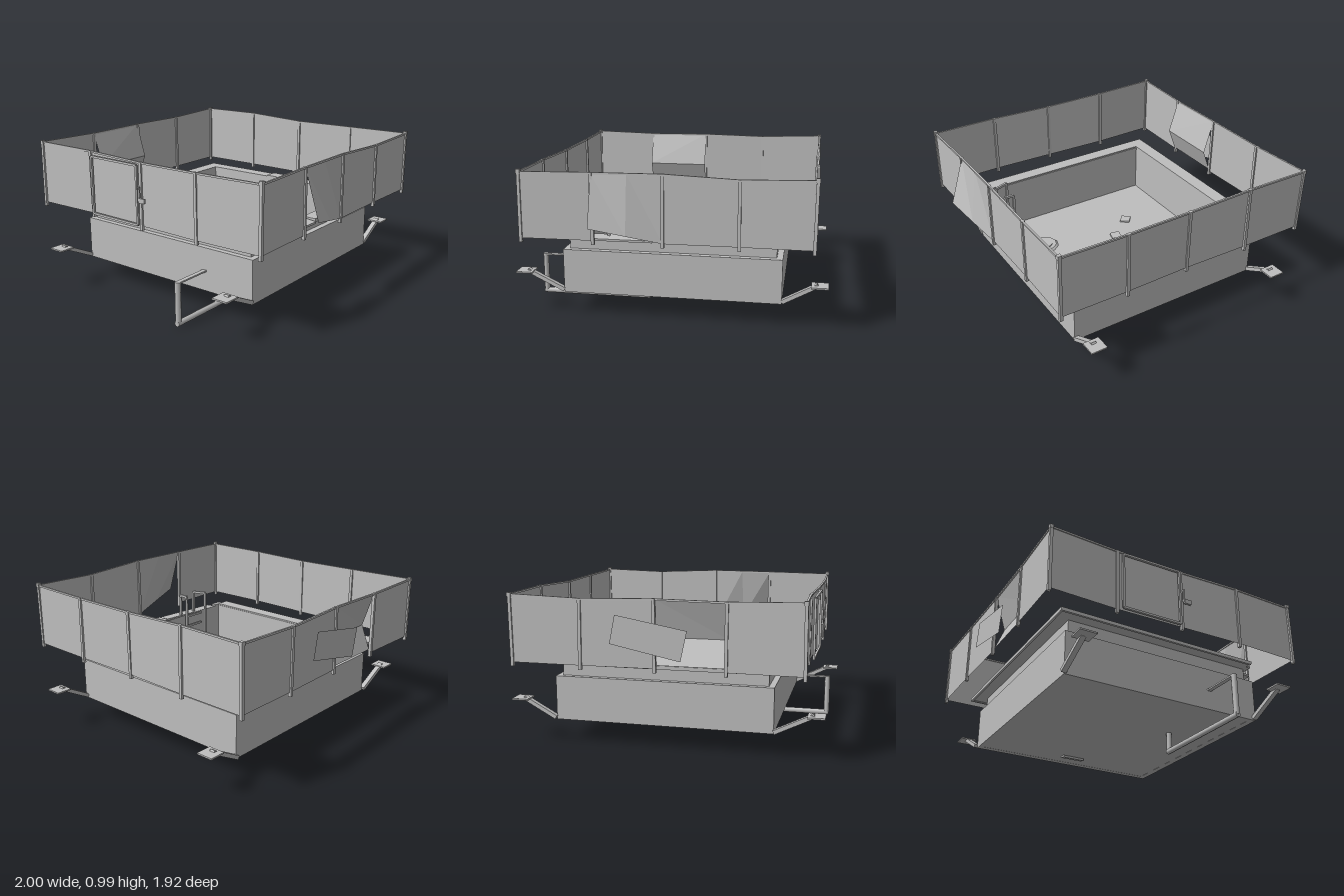
import * as THREE from 'three';

const grey = new THREE.MeshStandardMaterial({ color: 0xbebebe, side: THREE.DoubleSide });
grey.name = 'weathered grey';
const V = (p) => new THREE.Vector3(...p);

export function createModel() {
  const model = new THREE.Group();
  let parent = model;

  const add = (name, geo, pos = [0, 0, 0], rot = [0, 0, 0]) => {
    const m = new THREE.Mesh(geo, grey);
    m.name = name;
    m.position.set(...pos);
    m.rotation.set(...rot);
    parent.add(m);
    return m;
  };
  const section = (name) => {
    parent = new THREE.Group();
    parent.name = name;
    model.add(parent);
  };
  // Box given by its minimum and maximum corners
  const block = (name, a, b) => add(name,
    new THREE.BoxGeometry(b[0] - a[0], b[1] - a[1], b[2] - a[2]),
    a.map((v, i) => (v + b[i]) / 2));
  // Straight bar between two points
  const bar = (name, a, b, w = 0.015, h = w) => {
    const m = add(name, new THREE.BoxGeometry(w, h, V(a).distanceTo(V(b))));
    m.position.copy(V(a).lerp(V(b), 0.5));
    m.lookAt(V(b));
    return m;
  };
  // Thin sheet lofted through rows of points
  const sheet = (name, rows) => {
    const g = new THREE.BufferGeometry(), idx = [], n = rows[0].length;
    for (let r = 0; r < rows.length - 1; r++)
      for (let c = 0; c < n - 1; c++) {
        const i = r * n + c;
        idx.push(i, i + n, i + 1, i + 1, i + n, i + n + 1);
      }
    g.setAttribute('position', new THREE.Float32BufferAttribute(rows.flat(2), 3));
    g.setIndex(idx);
    const flat = g.toNonIndexed();
    flat.computeVertexNormals();
    return add(name, flat);
  };
  // Rectangular ring of walls: x0, x1, z0, z1 outside, then inside
  const wallRing = (name, o, i, y0, y1) => {
    const s = new THREE.Shape(), h = new THREE.Path();
    [[s, o], [h, i]].forEach(([p, [x0, x1, z0, z1]]) => {
      p.moveTo(x0, -z0).lineTo(x1, -z0).lineTo(x1, -z1).lineTo(x0, -z1).closePath();
    });
    s.holes.push(h);
    const g = new THREE.ExtrudeGeometry(s, { depth: y1 - y0, bevelEnabled: false });
    g.rotateX(-Math.PI / 2);
    return add(name, g, [0, y0, 0]);
  };

  // Pool basin: thick lower tub, thin upper wall, floor
  section('basin');
  const inner = [-0.648, 0.672, -0.7, 0.625];
  wallRing('lowerWall', [-0.69, 0.715, -0.74, 0.67], inner, 0.15, 0.437);
  wallRing('upperWall', [-0.653, 0.677, -0.705, 0.63], inner, 0.437, 0.54);
  block('floor', [-0.688, 0.151, -0.738], [0.713, 0.19, 0.668]);
  add('outlet', new THREE.BoxGeometry(0.05, 0.015, 0.165), [0.555, 0.146, -0.052], [0, 0, 0.2]);

  // Deck slabs around the rim, with a gap at the broken front corner
  section('deck');
  const slab = (n, x0, x1, z0, z1) => block(n, [x0, 0.535, z0], [x1, 0.55, z1]);
  slab('backDeck', -0.75, 0.77, -0.8, -0.7);
  slab('sideDeck', -0.75, -0.653, -0.7, 0.625);
  slab('sideDeck', 0.672, 0.77, -0.7, 0.625);
  slab('frontDeck', -0.07, 0.77, 0.625, 0.72);
  slab('deckStub', -0.69, -0.61, 0.622, 0.66);
  block('raisedSlab', [0.672, 0.549, -0.18], [0.77, 0.557, 0.092]);
  add('brokenSlab', new THREE.BoxGeometry(0.525, 0.014, 0.095), [-0.35, 0.532, 0.678], [0.08, -0.045, 0.02]);
  // Lips beneath the deck edge
  block('deckLip', [-0.75, 0.527, -0.8], [0.77, 0.537, -0.785]);
  for (const x of [-0.75, 0.755]) block('deckLip', [x, 0.527, -0.785], [x + 0.015, 0.537, 0.62]);
  block('deckLip', [-0.07, 0.527, 0.705], [0.77, 0.537, 0.72]);

  // Corner brackets: sloping arm through a flat pad
  section('brackets');
  for (const z of [-0.745, 0.66])
    for (const s of [-1, 1]) {
      const root = s < 0 ? -0.69 : 0.715;
      bar('bracketArm', [root, 0.165, z], [s * 0.935, 0.285, z], 0.034, 0.026);
      add('bracketPad', new THREE.BoxGeometry(0.107, 0.01, 0.11), [s * 0.946, 0.28, z]);
    }

  // Drain pipe under the tub
  section('drainPipe');
  const pipe = [[-0.945, 0.29, 0.3], [-0.945, 0.02, 0.3], [-0.215, 0.02, 0.3], [-0.215, 0.152, 0.3]];
  for (let i = 0; i < 3; i++) {
    const m = add('pipeRun', new THREE.CylinderGeometry(0.019, 0.019, V(pipe[i]).distanceTo(V(pipe[i + 1])) + 0.03 * (i === 1), 8));
    m.position.copy(V(pipe[i]).lerp(V(pipe[i + 1]), 0.5));
    if (i === 1) m.rotation.z = Math.PI / 2;
  }
  bar('pipeInlet', [-0.945, 0.285, 0.3], [-0.68, 0.285, 0.3], 0.03, 0.01);

  // Fence posts as [x, z, top height], clockwise from the back corner
  section('fence');
  const posts = [
    [-0.885, -0.947, 0.985], [-0.435, -0.938, 0.975], [0.005, -0.932, 0.98], [0.46, -0.943, 0.97],
    [0.912, -0.943, 0.985], [0.912, -0.49, 0.99], [0.902, -0.035, 0.972], [0.91, 0.41, 0.975],
    [0.908, 0.86, 0.98], [0.46, 0.855, 0.968], [0.005, 0.86, 0.988], [-0.435, 0.86, 0.985],
    [-0.885, 0.868, 0.978], [-0.897, 0.41, 0.975], [-0.885, -0.035, 0.97], [-0.872, -0.49, 0.98],
  ];
  posts.forEach(([x, z, h], i) => {
    const [x2, z2, h2] = posts[(i + 1) % posts.length];
    // Posts lean very slightly
    const lean = i % 2 ? 0.004 : -0.004;
    bar('fencePost', [x + lean, 0.535, z], [x, h, z], 0.02);
    // Sagging top rail and panel
    const at = (t, y) => [x + (x2 - x) * t, y, z + (z2 - z) * t];
    const mid = at(0.5, (h + h2) / 2 - 0.006);
    bar('topRail', at(0, h - 0.006), mid, 0.012);
    bar('topRail', mid, at(1, h2 - 0.006), 0.012);
    const top = [at(0, h - 0.005), mid, at(1, h2 - 0.005)];
    if (i === 1) {
      // Panel buckled inward
      sheet('buckledPanel', [
        [at(0, h), at(1, h2)],
        [[x, 0.74, -0.862], [x2, 0.74, -0.862]],
        [[x, 0.58, -0.925], [x2, 0.58, -0.925]]]);
    } else if (i === 10) {
      // Panel torn loose at its lower corner
      sheet('tornPanel', [top, [[x2 + 0.44, 0.56, 0.862], [-0.215, 0.61, 0.912], [x2, 0.66, 0.96]]]);
    } else {
      sheet('fencePanel', [top, [at(0, 0.56), at(0.5, 0.56), at(1, 0.56)]]);
    }
  });
  for (const p of [0, 4, 8, 12])
    add('postCap', new THREE.BoxGeometry(0.025, 0.025, 0.025), [posts[p][0], 0.98, posts[p][1]]);

  // Detached sheet hanging outside the back fence
  sheet('looseSheet', [
    [[-0.205, 0.8, -0.962], [0.235, 0.88, -0.962]],
    [[-0.165, 0.615, -0.962], [0.27, 0.705, -0.962]]]);

  // Gate frame, brace and latch on the side fence
  section('gate');
  const g = [[-0.897, 0.57, -0.46], [-0.897, 0.95, -0.46], [-0.905, 0.95, -0.055], [-0.905, 0.57, -0.055]];
  g.forEach((p, i) => bar('gateFrame', p, g[(i + 1) % 4], 0.014));
  bar('latchBar', [-0.913, 0.73, -0.03], [-0.913, 0.82, -0.03], 0.012);
  bar('latchHandle', [-0.915, 0.735, -0.03], [-0.915, 0.735, 0.02], 0.014, 0.03);

  // Bent pool ladder
  section('ladder');
  const arch = (x0, x1, z0, z1) => {
    const p = [[x0, 0.36, z0], [x0, 0.7, z0], [x1, 0.7, z1], [x1, 0.54, z1]];
    for (let i = 0; i < 3; i++) bar('handrail', p[i], p[i + 1], 0.016);
  };
  arch(-0.42, -0.385, 0.56, 0.655);
  arch(-0.243, -0.243, 0.59, 0.655);
  for (const y of [0.38, 0.46, 0.54]) bar('rung', [-0.405, y, 0.59], [-0.243, y, 0.59], 0.014);

  // Debris on the floor: loose tiles, a broken frame, a fallen hatch, a ring
  section('debris');
  [[0.005, -0.545, 0.05], [0.46, -0.545, 0.03], [-0.24, -0.333, 0.75],
    [0.235, -0.385, 0.6], [-0.09, -0.148, 0.25], [0.41, -0.175, 0.75]].forEach(([x, z, a]) =>
    add('looseTile', new THREE.BoxGeometry(0.07, 0.012, 0.07), [x, 0.198, z], [0.06, -a, 0]));
  bar('brokenFrame', [0.262, 0.2, -0.083], [0.455, 0.2, 0.055], 0.014);
  bar('brokenFrame', [0.35, 0.2, -0.02], [0.42, 0.2, -0.11], 0.014);
  bar('brokenFrame', [0.42, 0.2, -0.11], [0.325, 0.2, -0.175], 0.014);
  sheet('fallenHatch', [
    [[0.668, 0.34, -0.125], [0.665, 0.34, 0.03]],
    [[0.655, 0.2, -0.11], [0.648, 0.2, 0.045]]]);
  add('floorDrain', new THREE.CylinderGeometry(0.085, 0.1, 0.012, 10), [-0.27, 0.196, 0.355]);
  add('drainCap', new THREE.CylinderGeometry(0.057, 0.057, 0.012, 10), [-0.27, 0.202, 0.355]);

  return model;
}
